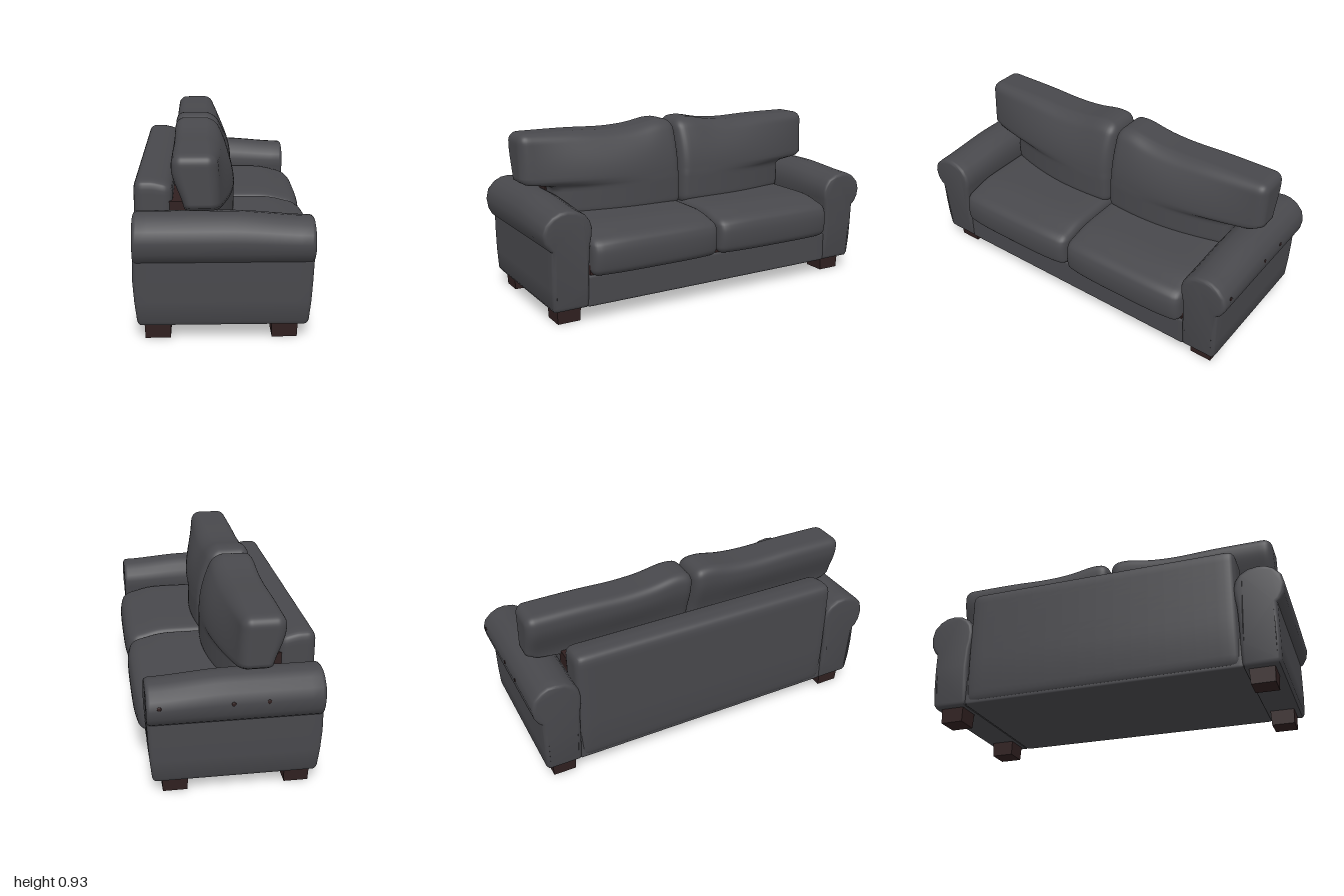
import * as THREE from 'three';
import { mergeVertices, toCreasedNormals } from 'three/addons/utils/BufferGeometryUtils.js';

const leather = new THREE.MeshStandardMaterial({ color: 0x48484c });
leather.name = 'charcoal leather';
const wood = new THREE.MeshStandardMaterial({ color: 0x302020 });
wood.name = 'dark brown wood';

const { clamp, smoothstep, lerp } = THREE.MathUtils;

function addMesh(parent, name, geometry, material) {
  const mesh = new THREE.Mesh(geometry, material);
  mesh.name = name;
  parent.add(mesh);
  return mesh;
}

// Smooth rounded box between two corners; warp(p) may reshape each vertex.
function softBox(min, max, r, warp, seg = 24) {
  const g = new THREE.BoxGeometry(2, 2, 2, seg, seg, seg);
  g.deleteAttribute('uv');
  g.deleteAttribute('normal');
  const geo = mergeVertices(g, 1e-5);
  const lo = new THREE.Vector3(...min), hi = new THREE.Vector3(...max);
  const coreLo = lo.clone().addScalar(r), coreHi = hi.clone().subScalar(r);
  const pos = geo.attributes.position;
  const p = new THREE.Vector3(), core = new THREE.Vector3();
  for (let i = 0; i < pos.count; i++) {
    p.fromBufferAttribute(pos, i);
    // rows crowd towards the edges so the rounding is fine there
    for (const a of ['x', 'y', 'z']) {
      p[a] = lerp(lo[a], hi[a], (Math.sin(p[a] * Math.PI / 2) + 1) / 2);
    }
    core.copy(p).clamp(coreLo, coreHi);
    p.sub(core).setLength(r).add(core);
    if (warp) warp(p);
    pos.setXYZ(i, p.x, p.y, p.z);
  }
  geo.computeVertexNormals();
  return geo;
}

// Rolled arm: an outline across the arm, extruded from back to front.
function armGeometry(side) {
  const outline = [
    [0.765, 0.08], [0.94, 0.08], [0.953, 0.1], [0.956, 0.2], [0.956, 0.3], [0.956, 0.4],
    [0.972, 0.413], [0.992, 0.45], [1.0, 0.505], [0.987, 0.56], [0.95, 0.6], [0.91, 0.62],
    [0.87, 0.625], [0.82, 0.617], [0.775, 0.592], [0.75, 0.555], [0.74, 0.51],
    [0.743, 0.46], [0.752, 0.41], [0.757, 0.3], [0.757, 0.2], [0.757, 0.1],
  ].map(([u, y]) => new THREE.Vector2(-side * u, y));
  const bevel = 0.02;
  const g = new THREE.ExtrudeGeometry(new THREE.Shape(outline), {
    depth: 0.86 - 2 * bevel, steps: 16, bevelEnabled: true, bevelSize: bevel,
    bevelThickness: bevel, bevelOffset: -bevel, bevelSegments: 4,
  });
  g.rotateY(Math.PI / 2);
  g.translate(-0.45 + bevel, 0, 0);
  const pos = g.attributes.position;
  for (let i = 0; i < pos.count; i++) {
    let x = pos.getX(i), y = pos.getY(i);
    // narrower towards the floor, top dipping at the front
    x *= 1 - 0.05 * Math.pow(clamp((0.38 - y) / 0.3, 0, 1), 2);
    x -= 0.005 * smoothstep(0.45 - y, 0, 0.1);
    y -= 0.025 * smoothstep(x, 0, 0.41) * smoothstep(y, 0.42, 0.6);
    pos.setXY(i, x, y);
  }
  return toCreasedNormals(g, 0.7);
}

// Back cushion: wings rest over the arm, front face swells outwards.
function backCushionGeometry(side) {
  return softBox([-0.265, 0.44, 0.004], [-0.05, 0.905, 0.93], 0.05, (p) => {
    const t = (p.x + 0.265) / 0.215;
    const swell = 0.1 * (1 - Math.pow((p.z - 0.3) / 0.63, 2));
    const slope = 1 - Math.pow(clamp((p.y - 0.62) / 0.28, 0, 1), 2);
    p.x += t * swell * slope + (1 - t) * 0.06 * (1 - smoothstep(p.y, 0.62, 0.84));
    const top = smoothstep(p.y, 0.65, 0.9);
    p.z *= lerp(0.745 / 0.93, 1, smoothstep(p.y, 0.61, 0.645));
    p.y += top * (0.025 * Math.exp(-Math.pow((p.z - 0.09) / 0.11, 2))
      - 0.008 * Math.exp(-Math.pow((p.z - 0.4) / 0.15, 2)));
    if (side < 0) p.set(p.x, p.y, p.z);
  }, 40);
}

// Seat cushion with a crowned top and a plump front edge.
function seatCushionGeometry() {
  return softBox([-0.2, 0.24, 0.006], [0.43, 0.465, 0.745], 0.04, (p) => {
    const t = smoothstep(p.x, 0.1, 0.43);
    const across = 1 - Math.pow((p.z - 0.375) / 0.37, 4);
    const high = smoothstep(p.y, 0.35, 0.46);
    const edge = Math.pow((p.y - 0.34) / 0.125, 2);
    p.x += t * (0.022 * across - 0.025 * edge);
    p.y += high * (0.012 * across - 0.035 * Math.pow(t, 3));
  }, 28);
}

// Mirror a geometry across the middle of the sofa, keeping faces outward.
function mirrorZ(g) {
  g.scale(1, 1, -1);
  const idx = g.index;
  for (let i = 0; i < idx.count; i += 3) {
    const a = idx.getX(i);
    idx.setX(i, idx.getX(i + 1));
    idx.setX(i + 1, a);
  }
  g.computeVertexNormals();
  return g;
}

export function createModel() {
  const sofa = new THREE.Group();
  sofa.name = 'sofa';

  // frame
  addMesh(sofa, 'base', softBox([-0.43, 0.08, -0.765], [0.385, 0.245, 0.765], 0.012), leather);
  addMesh(sofa, 'backPanel', softBox([-0.455, 0.08, -0.757], [-0.265, 0.745, 0.757], 0.045, (p) => {
    p.x += 0.02 * Math.pow(clamp((0.35 - p.y) / 0.27, 0, 1), 2);
    p.y -= 0.02 * smoothstep(p.x, -0.38, -0.26) * smoothstep(p.y, 0.6, 0.74);
  }), leather);

  // wooden lining seen in the gaps between cushions
  const seatLining = addMesh(sofa, 'seatLining', new THREE.BoxGeometry(0.64, 0.06, 1.49), wood);
  seatLining.position.set(0.055, 0.265, 0);
  const backLining = addMesh(sofa, 'backLining', new THREE.BoxGeometry(0.1, 0.39, 1.5), wood);
  backLining.position.set(-0.23, 0.445, 0);

  for (const side of [1, -1]) {
    const label = side > 0 ? 'Left' : 'Right';
    addMesh(sofa, 'arm' + label, armGeometry(side), leather);
    const seat = seatCushionGeometry(), back = backCushionGeometry(side);
    addMesh(sofa, 'seatCushion' + label, side > 0 ? seat : mirrorZ(seat), leather);
    addMesh(sofa, 'backCushion' + label, side > 0 ? back : mirrorZ(back), leather);

    // tapered block feet
    for (const x of [-0.338, 0.273]) {
      const foot = new THREE.CylinderGeometry(0.065 * Math.SQRT2, 0.061 * Math.SQRT2, 0.095, 4);
      foot.rotateY(Math.PI / 4);
      const leg = addMesh(sofa, 'foot' + label, toCreasedNormals(foot, 0.5), wood);
      leg.position.set(x, 0.0475, side * 0.85);
    }
  }

  // small studs on the outside of one arm
  for (const x of [0.35, 0.0, -0.17]) {
    const stud = addMesh(sofa, 'armStud', new THREE.SphereGeometry(0.011, 10, 8), wood);
    stud.scale.z = 0.4;
    stud.position.set(x, 0.51, -0.998);
  }
  return sofa;
}
